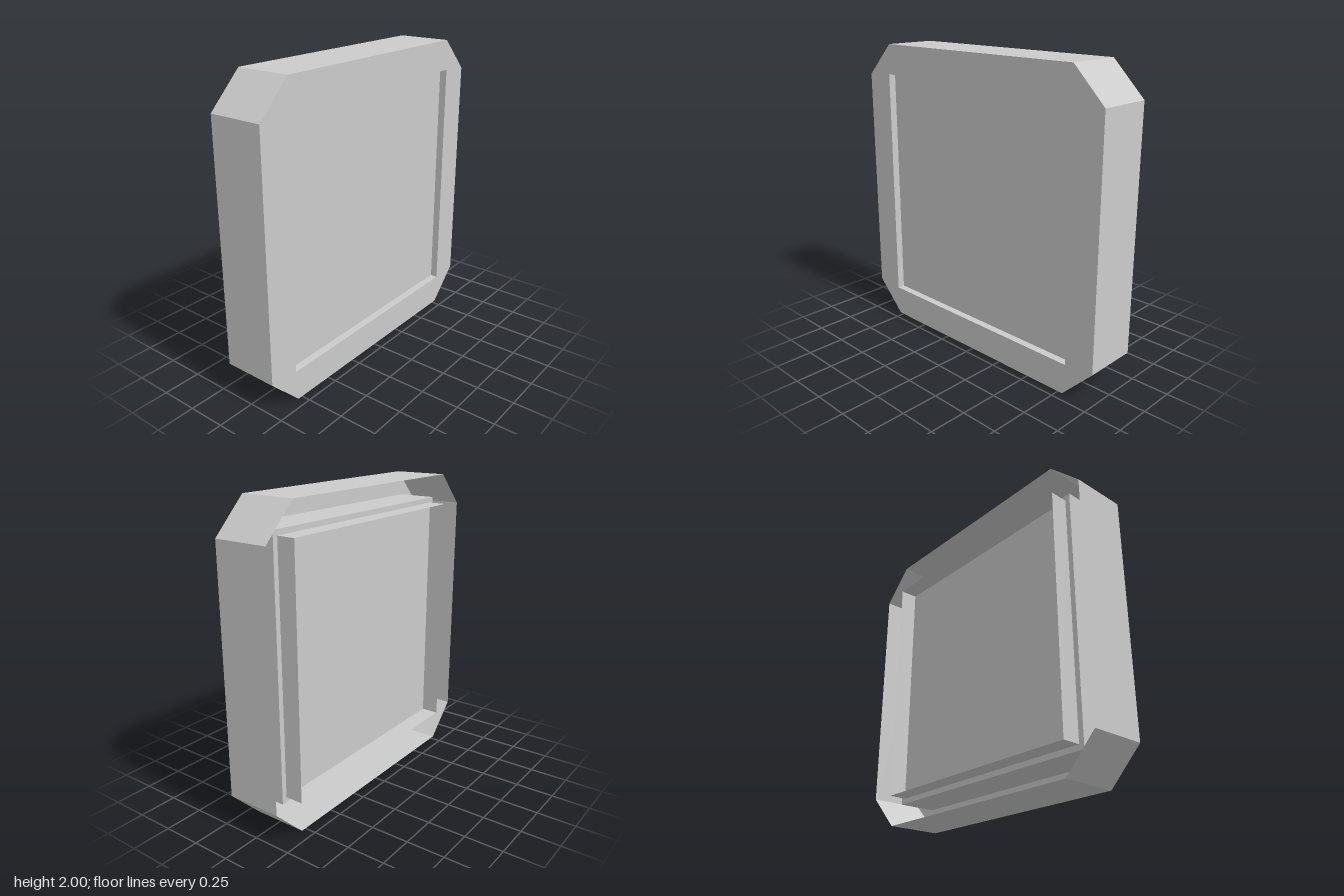
import * as THREE from 'three';

const FRONT = 0.19, RIM = -0.175, BACK = -0.19;

// Four-sided tube or pan from [half width, z] pairs
function squareLathe(profile) {
  const points = profile.map(([r, z]) => new THREE.Vector2(r * Math.SQRT2, z));
  return new THREE.LatheGeometry(points, 4, Math.PI / 4).rotateX(Math.PI / 2);
}

export function createModel() {
  const group = new THREE.Group();
  const material = new THREE.MeshStandardMaterial({ color: 0xcccccc, flatShading: true, side: THREE.DoubleSide });
  const add = (name, geometry) => {
    const mesh = new THREE.Mesh(geometry, material);
    mesh.name = name;
    mesh.position.y = 1;
    group.add(mesh);
  };

  // Square outline with chamfered corners, counter-clockwise
  const c = 0.783;
  const outline = [[1, -c], [1, c], [c, 1], [-c, 1], [-1, c], [-1, -c], [-c, -1], [c, -1]]
    .map(([x, y]) => new THREE.Vector2(x, y));

  // Thin front plate with a square opening
  const h = 0.797;
  const plate = new THREE.Shape(outline);
  plate.holes.push(new THREE.Path([[-h, -h], [-h, h], [h, h], [h, -h]].map(([x, y]) => new THREE.Vector2(x, y))));
  add('frontPlate', new THREE.ShapeGeometry(plate).translate(0, 0, FRONT));

  // Thin outer wall, open at the back
  const pos = [];
  outline.forEach((a, i) => {
    const b = outline[(i + 1) % outline.length];
    pos.push(a.x, a.y, RIM, b.x, b.y, RIM, b.x, b.y, FRONT);
    pos.push(a.x, a.y, RIM, b.x, b.y, FRONT, a.x, a.y, FRONT);
  });
  const wall = new THREE.BufferGeometry();
  wall.setAttribute('position', new THREE.Float32BufferAttribute(pos, 3));
  wall.computeVertexNormals();
  add('outerWall', wall);

  // Shallow recess in the front opening, closed by a flat panel
  const panelZ = 0.14;
  add('frontRecess', squareLathe([[h, FRONT], [h, panelZ]]));
  add('frontPanel', new THREE.PlaneGeometry(2 * h, 2 * h).translate(0, 0, panelZ));

  // Housing behind the plate, with a flat back
  const half = 0.832, floorZ = -0.07;
  add('housingWall', squareLathe([[half, floorZ], [half, FRONT]]));
  add('housingBack', new THREE.PlaneGeometry(2 * half, 2 * half).rotateY(Math.PI).translate(0, 0, floorZ));

  // Thin open lip standing on the housing back
  add('backLip', squareLathe([[h, BACK], [h, floorZ]]));

  return group;
}
